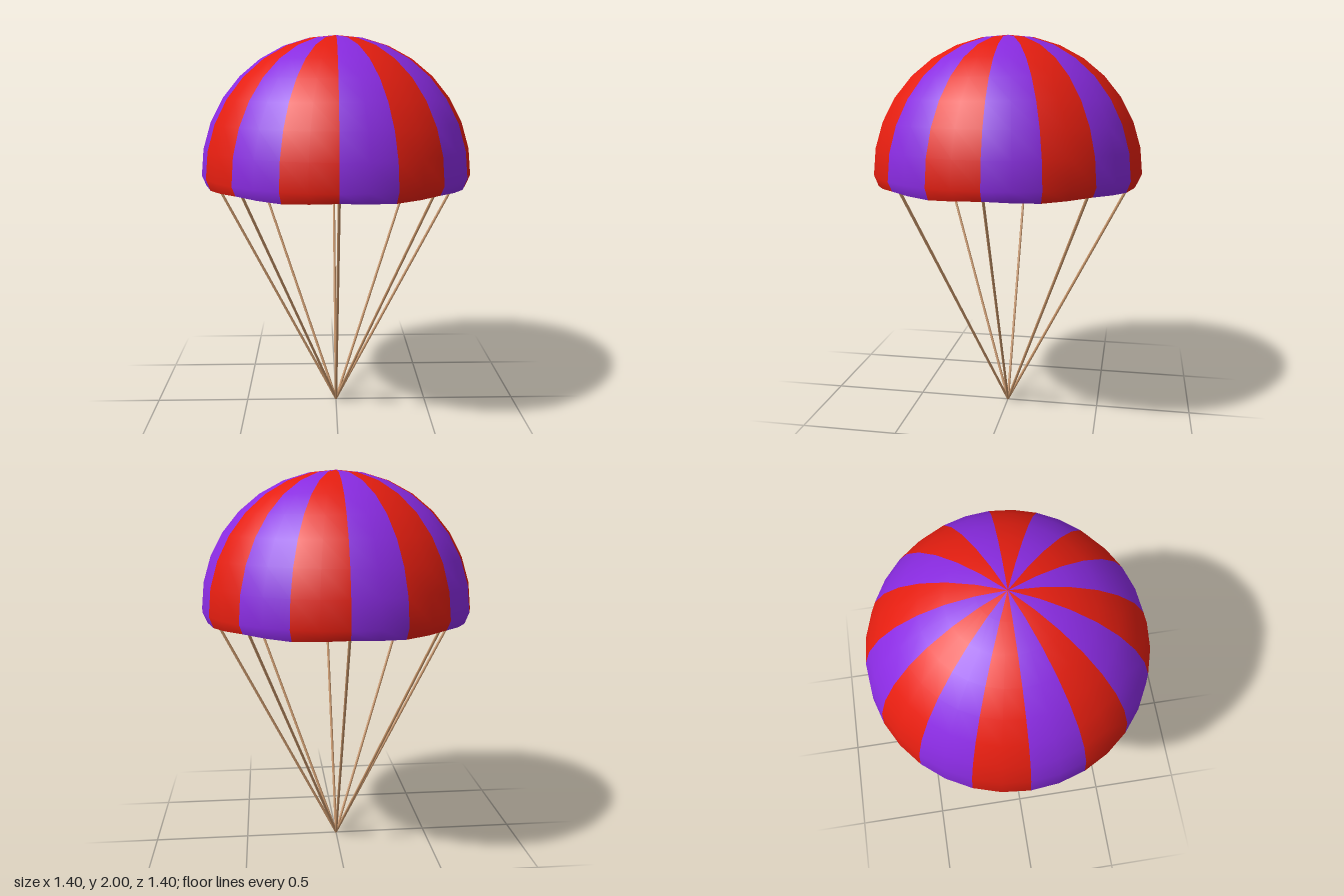
import * as THREE from 'three';

const GORES = 16, LINES = 8;
const R = 0.7, INNER = 0.675, CENTRE_Y = 1.3;

// Arc points of a quarter circle, from the apex down to the equator
function arc(radius) {
  const pts = [];
  for (let i = 0; i <= 8; i++) {
    const a = (i / 8) * Math.PI / 2;
    pts.push(new THREE.Vector2(radius * Math.sin(a), CENTRE_Y + radius * Math.cos(a)));
  }
  return pts;
}

// One wedge of a revolved profile, with the hem lifted slightly at each line
function wedge(points, start, angle) {
  const geo = new THREE.LatheGeometry(points, 2, start, angle);
  const p = geo.attributes.position;
  for (let i = 0; i < p.count; i++) {
    if (p.getY(i) > 1.27) continue;
    const phi = Math.atan2(p.getX(i), p.getZ(i));
    p.setY(i, p.getY(i) + 0.005 * Math.cos(LINES * phi));
  }
  return geo;
}

export function createModel() {
  const model = new THREE.Group();
  const red = new THREE.MeshStandardMaterial({ color: 0xe61e10 });
  const purple = new THREE.MeshStandardMaterial({ color: 0x8a2be2 });
  const cord = new THREE.MeshStandardMaterial({ color: 0xc8966a });

  // Canopy: outer skin, inner skin and hem for each gore
  const outerHem = new THREE.Vector2(0.678, 1.248);
  const innerHem = new THREE.Vector2(0.65, 1.248);
  const profiles = {
    outerSkin: [...arc(R), outerHem].reverse(),
    innerSkin: [...arc(INNER), innerHem],
    hem: [innerHem, outerHem],
  };
  const canopy = new THREE.Group();
  canopy.name = 'canopy';
  const angle = (Math.PI * 2) / GORES;
  for (let i = 0; i < GORES; i++) {
    const gore = new THREE.Group();
    gore.name = 'gore' + (i + 1);
    for (const [name, points] of Object.entries(profiles)) {
      const mesh = new THREE.Mesh(wedge(points, i * angle, angle), i % 2 ? red : purple);
      mesh.name = name;
      gore.add(mesh);
    }
    canopy.add(gore);
  }
  model.add(canopy);

  // Suspension lines meeting at one point below
  const lines = new THREE.Group();
  lines.name = 'suspensionLines';
  const bottom = new THREE.Vector3(0, 0.003, 0);
  const up = new THREE.Vector3(0, 1, 0);
  for (let i = 0; i < LINES; i++) {
    const phi = (i / LINES) * Math.PI * 2;
    const top = new THREE.Vector3(0.648 * Math.sin(phi), 1.265, 0.648 * Math.cos(phi));
    const dir = top.clone().sub(bottom);
    const line = new THREE.Mesh(new THREE.CylinderGeometry(0.007, 0.007, dir.length(), 8), cord);
    line.name = 'suspensionLine' + (i + 1);
    line.position.copy(top).add(bottom).multiplyScalar(0.5);
    line.quaternion.setFromUnitVectors(up, dir.normalize());
    lines.add(line);
  }
  model.add(lines);

  return model;
}
